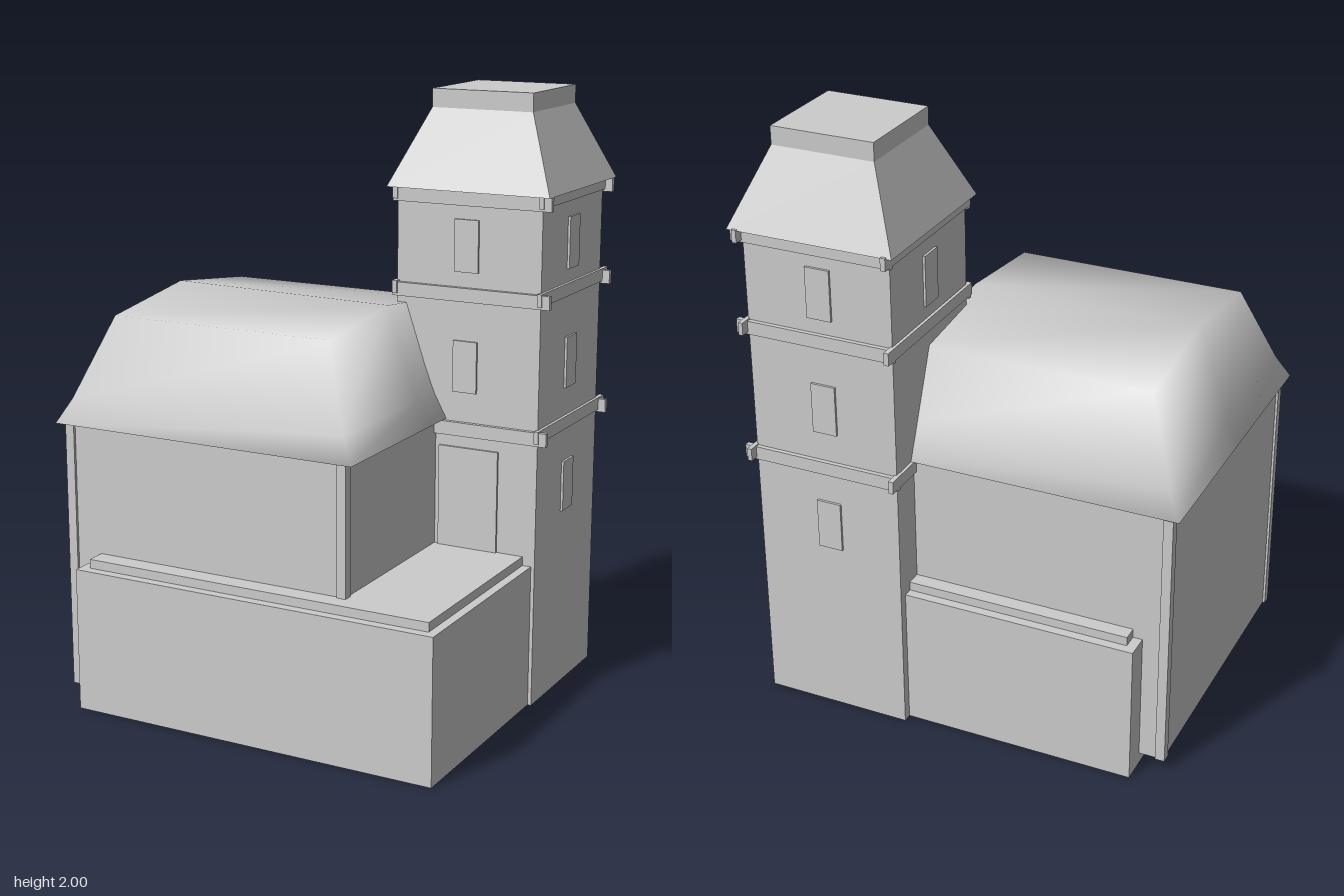
import * as THREE from 'three';

const mat = new THREE.MeshStandardMaterial({ color: 0xcccccc, side: THREE.DoubleSide });

function add(group, geometry, name) {
  const mesh = new THREE.Mesh(geometry, mat);
  mesh.name = name;
  group.add(mesh);
  return mesh;
}

// Box given by its limits; "open" leaves out the underside
function box(group, name, [x0, x1], [y0, y1], [z0, z1], open = false) {
  const g = new THREE.BoxGeometry(x1 - x0, y1 - y0, z1 - z0);
  if (open) {
    const idx = Array.from(g.index.array);
    idx.splice(18, 6);
    g.clearGroups();
    g.setIndex(idx);
  }
  g.translate((x0 + x1) / 2, (y0 + y1) / 2, (z0 + z1) / 2);
  return add(group, g, name);
}

// Six-point rings (four corners plus a ridge point at each end), joined and capped
function loft(rings, smooth) {
  const pos = [], idx = [];
  for (const { x: [x0, x1], z: [z0, z1], y, ridge = [y, y], zm = (z0 + z1) / 2 } of rings) {
    pos.push(x0, y, z1, x1, y, z1, x1, ridge[1], zm, x1, y, z0, x0, y, z0, x0, ridge[0], zm);
  }
  const quad = (a, b, c, d) => idx.push(a, b, c, a, c, d);
  for (let i = 0; i < rings.length - 1; i++) {
    for (let j = 0; j < 6; j++) {
      const k = (j + 1) % 6, o = i * 6;
      quad(o + j, o + k, o + 6 + k, o + 6 + j);
    }
  }
  const t = (rings.length - 1) * 6;
  quad(t, t + 1, t + 2, t + 5);
  quad(t + 5, t + 2, t + 3, t + 4);
  let g = new THREE.BufferGeometry();
  g.setAttribute('position', new THREE.Float32BufferAttribute(pos, 3));
  g.setIndex(idx);
  if (!smooth) g = g.toNonIndexed();
  g.computeVertexNormals();
  return g;
}

function buildTower() {
  const tower = new THREE.Group();
  tower.name = 'tower';
  const X = [0.18, 0.685], Z = [-0.595, -0.09];
  const cx = 0.4275, cz = -0.3425;
  box(tower, 'towerWalls', X, [0, 1.68], Z, true);

  // String courses made of four crossing beams
  for (const y of [0.89, 1.335, 1.645]) {
    const h = [y, y + 0.045], hz = [y + 0.008, y + 0.05];
    box(tower, 'frontBeam', [0.17, 0.72], h, [-0.092, -0.075]);
    box(tower, 'backBeam', [0.17, 0.72], h, [-0.61, -0.593]);
    box(tower, 'rightBeam', [0.17, 0.187], hz, [-0.64, -0.07]);
    box(tower, 'leftBeam', [0.68, 0.695], hz, [-0.64, -0.07]);
  }

  // Raised window panels on each side
  const w = 0.042, d = 0.008;
  [0.615, 1.035, 1.43].forEach((y, level) => {
    const h = [y, y + 0.17];
    box(tower, 'leftWindow', [X[1] - d, X[1] + d], h, [cz - w, cz + w]);
    box(tower, 'backWindow', [cx - w, cx + w], h, [Z[0] - d, Z[0] + d]);
    if (level > 0) box(tower, 'frontWindow', [cx - w, cx + w], h, [Z[1] - d, Z[1] + d]);
    if (level > 1) box(tower, 'rightWindow', [X[0] - d, X[0] + d], h, [cz - w, cz + w]);
  });
  box(tower, 'terraceDoor', [0.34, 0.55], [0.5, 0.85], [Z[1] - d, Z[1] + d]);

  // Steep roof with a flat-topped crown
  add(tower, loft([
    { x: [0.18, 0.69], z: [-0.6, -0.09], y: 1.69 },
    { x: [0.152, 0.718], z: [-0.633, -0.062], y: 1.69 },
    { x: [0.26, 0.61], z: [-0.52, -0.17], y: 1.94 },
    { x: [0.26, 0.61], z: [-0.52, -0.17], y: 2 },
  ], false), 'towerRoof');
  return tower;
}

function buildHouse() {
  const house = new THREE.Group();
  house.name = 'house';
  box(house, 'houseWalls', [-0.692, 0.325], [0.04, 0.945], [-0.482, 0.538], true);

  // Corner posts
  for (const x of [-0.7, 0.3]) {
    for (const z of [-0.49, 0.515]) {
      box(house, 'cornerPost', [x, x + 0.032], [0.04, 0.945], [z, z + 0.032]);
    }
  }

  // Bell-cast mansard roof with a shallow ridge
  add(house, loft([
    { x: [-0.69, 0.325], z: [-0.48, 0.54], y: 0.945, zm: 0.04 },
    { x: [-0.722, 0.362], z: [-0.5, 0.57], y: 0.94, zm: 0.04 },
    { x: [-0.68, 0.318], z: [-0.465, 0.53], y: 1.02, zm: 0.04 },
    { x: [-0.575, 0.213], z: [-0.355, 0.43], y: 1.285, zm: 0.04, ridge: [1.335, 1.325] },
  ], true), 'houseRoof');
  return house;
}

export function createModel() {
  const model = new THREE.Group();
  model.name = 'towerHouse';

  // Ground storey with a raised terrace slab
  box(model, 'base', [-0.61, 0.673], [0, 0.48], [-0.565, 0.638], true);
  box(model, 'terraceSlab', [-0.578, 0.643], [0.48, 0.51], [-0.533, 0.605], true);

  model.add(buildHouse(), buildTower());
  return model;
}
